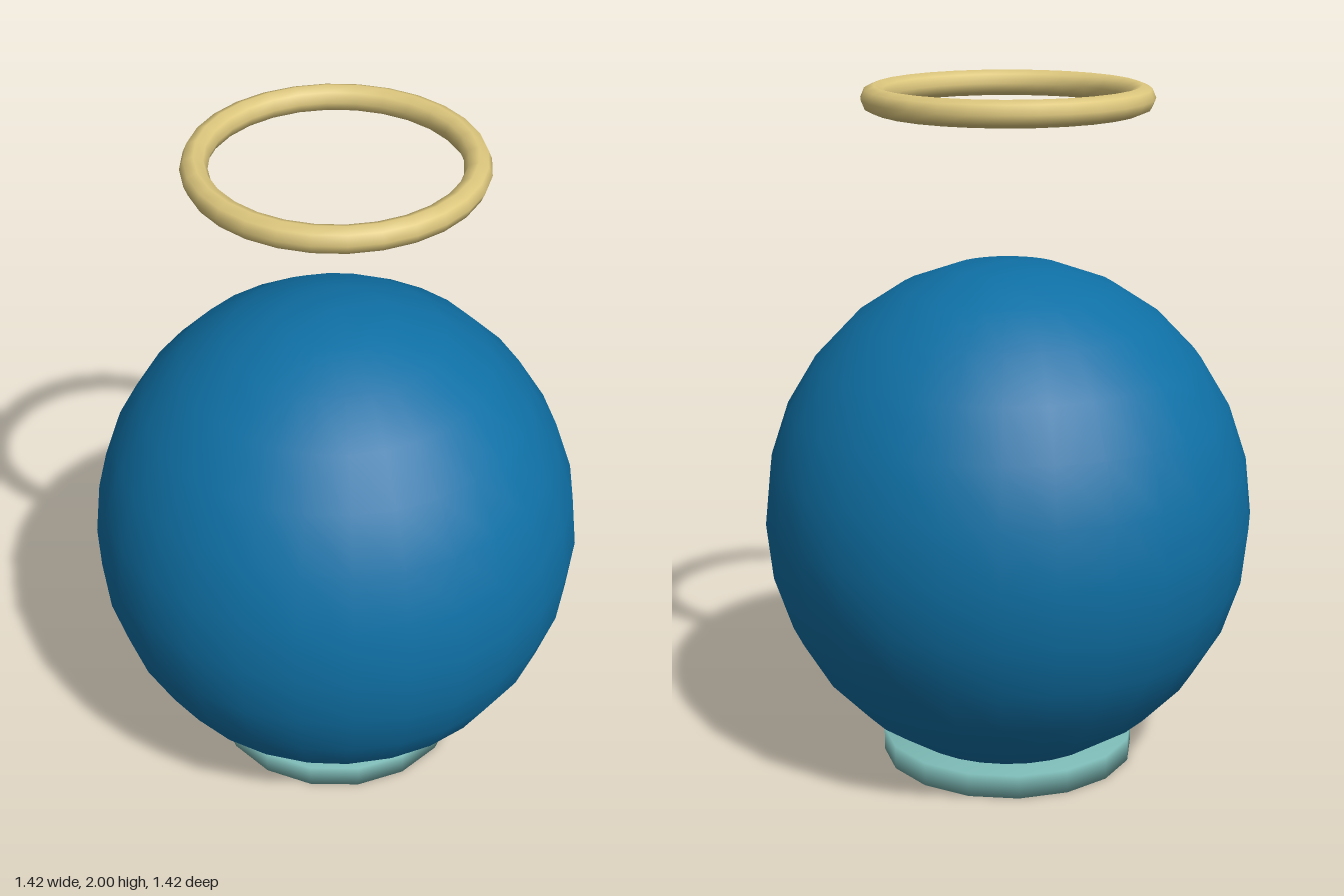
import * as THREE from 'three';
import { mergeVertices } from 'three/addons/utils/BufferGeometryUtils.js';

const material = (name, color) => {
  const m = new THREE.MeshStandardMaterial({ color });
  m.name = name;
  return m;
};

// Share the vertices along hard edges so the whole part shades softly.
function softened(geometry) {
  geometry.deleteAttribute('normal');
  geometry.deleteAttribute('uv');
  const merged = mergeVertices(geometry);
  merged.computeVertexNormals();
  return merged;
}

export function createModel() {
  const model = new THREE.Group();
  const add = (name, geometry, mat, y) => {
    const mesh = new THREE.Mesh(geometry, mat);
    mesh.name = name;
    mesh.position.y = y;
    model.add(mesh);
    return mesh;
  };

  // Slightly tall round body
  const body = add('body', new THREE.SphereGeometry(0.7125, 28, 14), material('blue', 0x0f70a5), 0.752);
  body.scale.y = 1.05;

  // Flat disc under the body
  add('base', softened(new THREE.CylinderGeometry(0.375, 0.375, 0.07, 16)), material('pale teal', 0x7cb9b5), 0.035);

  // Ring floating above the body
  const ring = add('floatingRing', new THREE.TorusGeometry(0.376, 0.0375, 8, 28), material('pale gold', 0xdec87e), 1.9625);
  ring.rotation.x = Math.PI / 2;

  return model;
}
